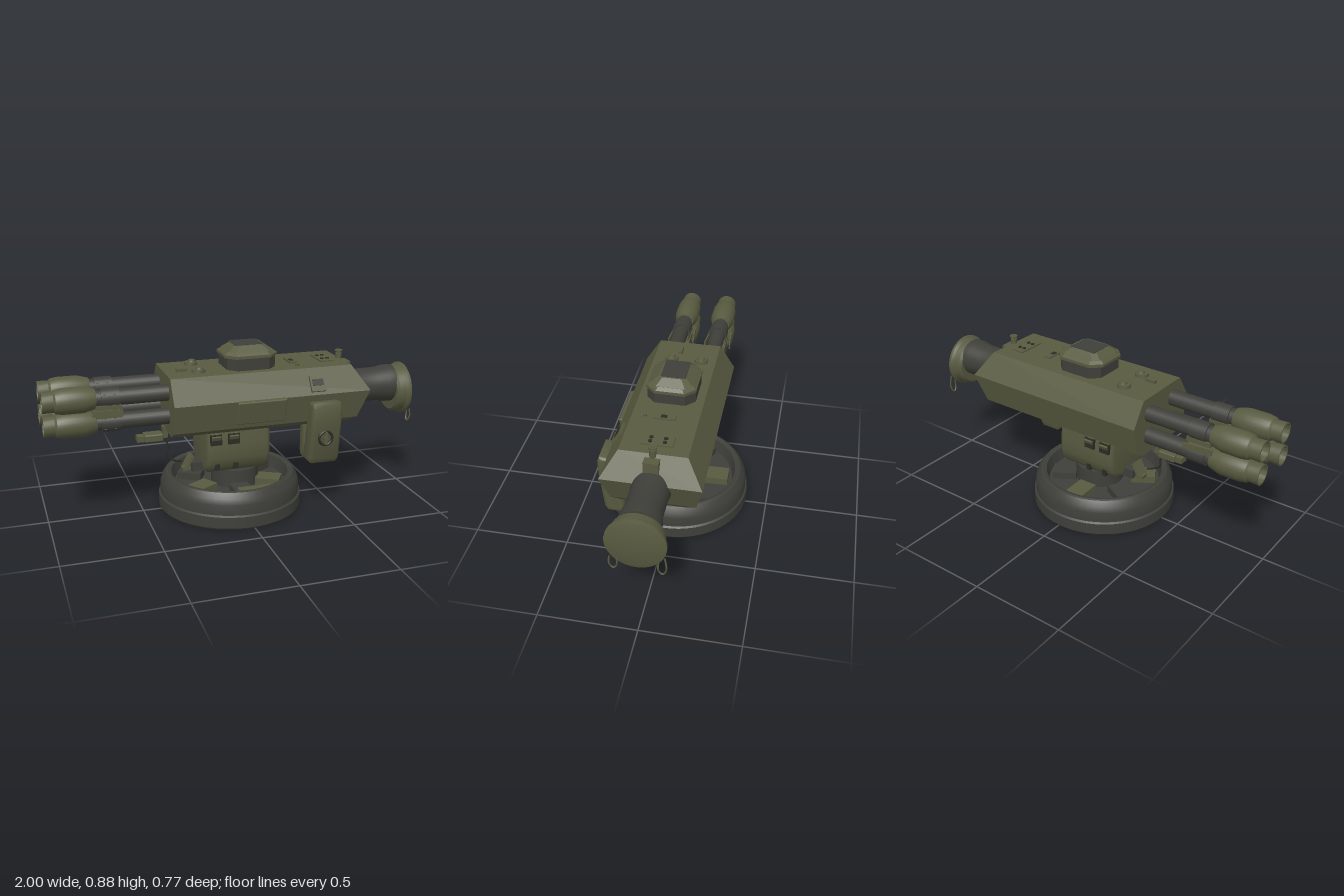
import * as THREE from 'three';
import { toCreasedNormals } from 'three/addons/utils/BufferGeometryUtils.js';
import { RoundedBoxGeometry } from 'three/addons/geometries/RoundedBoxGeometry.js';

const olive = new THREE.MeshStandardMaterial({ name: 'olive paint', color: 0x585a40 });
const dark = new THREE.MeshStandardMaterial({ name: 'dark metal', color: 0x3f3f3a });
const black = new THREE.MeshStandardMaterial({ name: 'black fittings', color: 0x2c2d25 });

export function createModel() {
  const model = new THREE.Group();
  model.name = 'gunTurret';

  const add = (name, geo, mat, x = 0, y = 0, z = 0, rx = 0, rz = 0) => {
    const m = new THREE.Mesh(geo, mat);
    m.name = name;
    m.position.set(x, y, z);
    m.rotation.set(rx, 0, rz);
    model.add(m);
    return m;
  };
  const box = (w, h, d) => new THREE.BoxGeometry(w, h, d);
  const cyl = (r0, r1, h, n = 24) => new THREE.CylinderGeometry(r0, r1, h, n);
  const lathe = (pts, n = 48) =>
    toCreasedNormals(new THREE.LatheGeometry(pts.map(p => new THREE.Vector2(...p)), n), 0.5);
  const latheX = (pts, n = 28) => lathe(pts, n).rotateZ(-Math.PI / 2);
  const tube = (pts, r, n = 32) =>
    new THREE.TubeGeometry(new THREE.CatmullRomCurve3(pts.map(p => new THREE.Vector3(...p))), n, r, 6);
  // Extrudes a [z, y] outline along x, between x0 and x1, with rounded edges
  const extrudeX = (pts, x0, x1, bevel) => {
    const shape = new THREE.Shape(pts.map(([z, y]) => new THREE.Vector2(-z, y)));
    const g = new THREE.ExtrudeGeometry(shape, {
      depth: x1 - x0 - 2 * bevel, bevelSize: bevel, bevelOffset: -bevel,
      bevelThickness: bevel, bevelSegments: 3,
    });
    return toCreasedNormals(g.translate(0, 0, x0 + bevel).rotateY(Math.PI / 2), 0.6);
  };
  // Eight-sided tapered block standing on y = 0
  const octBlock = (hx, hz, c, h, sx, sz) => {
    const o = [[hx, hz - c], [hx - c, hz], [c - hx, hz], [-hx, hz - c],
      [-hx, c - hz], [c - hx, -hz], [hx - c, -hz], [hx, c - hz]];
    const g = new THREE.ExtrudeGeometry(new THREE.Shape(o.map(p => new THREE.Vector2(...p))),
      { depth: h, bevelEnabled: false });
    const p = g.attributes.position;
    for (let i = 0; i < p.count; i++)
      if (p.getZ(i) > h / 2) p.setXY(i, p.getX(i) * sx, p.getY(i) * sz);
    g.rotateX(-Math.PI / 2).computeVertexNormals();
    return g;
  };

  // Round base with a recessed well
  add('base', lathe([[0, 0], [0.38, 0], [0.385, 0.008], [0.385, 0.068], [0.375, 0.075],
    [0.375, 0.13], [0.365, 0.16], [0.345, 0.188], [0.335, 0.192], [0.315, 0.185],
    [0.3, 0.12], [0, 0.12]], 64), dark, -0.02);
  add('pedestal', cyl(0.128, 0.128, 0.12, 40), dark, 0.01, 0.157, 0);
  for (let i = 0; i < 6; i++) {
    const a = i * Math.PI / 3 + 0.5;
    const m = add('wellBlock', box(0.13, 0.04, 0.1), i % 2 ? dark : olive,
      -0.02 + Math.cos(a) * 0.215, 0.14, Math.sin(a) * 0.215);
    m.rotation.y = -a;
  }
  add('wellPlate', box(0.18, 0.012, 0.05), olive, 0.04, 0.165, 0.26);

  // Mount body under the housing, round-bottomed
  add('mountBody', extrudeX([[0.15, 0.47], [0.16, 0.38], [0.16, 0.31], [0.148, 0.265], [0.125, 0.235],
    [0.085, 0.213], [-0.085, 0.213], [-0.125, 0.235], [-0.148, 0.265], [-0.16, 0.31],
    [-0.16, 0.38], [-0.15, 0.47]], -0.185, 0.16, 0.025), olive);
  for (const s of [1, -1]) {
    for (const x of [-0.14, -0.045]) {
      add('mountSwitch', box(0.06, 0.055, 0.02), black, x, 0.415, s * 0.16);
      add('switchCover', box(0.05, 0.02, 0.03), olive, x, 0.43, s * 0.162, s * 0.4);
    }
    add('mountLatch', box(0.025, 0.035, 0.02), black, -0.13, 0.26, s * 0.145);
    add('mountLatch', box(0.025, 0.035, 0.02), black, -0.03, 0.26, s * 0.145);
  }

  // Main housing: hexagonal section, rear end pointed in side view
  const side = [[0.165, 0.76, 0.6], [0.245, 0.635, 0.68], [0.21, 0.485, 0.625], [0.165, 0.455, 0.6]];
  const ring = [...side, ...[...side].reverse().map(([z, y, x]) => [-z, y, x])];
  const A = ring.map(([z, y]) => [-0.375, y, z]);
  const B = ring.map(([z, y, x]) => [x, y, z]);
  const verts = [];
  const quad = (a, b, c, d) => verts.push(...a, ...b, ...c, ...a, ...c, ...d);
  for (let i = 0; i < 8; i++) {
    const j = (i + 1) % 8;
    quad(A[i], A[j], B[j], B[i]);
    if (i < 3) {
      quad(B[i], B[i + 1], B[6 - i], B[7 - i]);
      quad(A[7 - i], A[6 - i], A[i + 1], A[i]);
    }
  }
  const hull = new THREE.BufferGeometry();
  hull.setAttribute('position', new THREE.Float32BufferAttribute(verts, 3));
  hull.computeVertexNormals();
  add('housing', hull, olive);
  add('sidePanel', new RoundedBoxGeometry(0.26, 0.125, 0.03, 2, 0.006), olive, 0.08, 0.575, 0.236, 0.23);
  add('sideHatch', box(0.08, 0.085, 0.025), olive, 0.39, 0.685, 0.214, -0.57);
  add('sideHatchWindow', box(0.06, 0.035, 0.008), black, 0.39, 0.695, 0.22, -0.57);

  // Four barrels with clamps and open muzzles
  for (const z of [-0.113, 0.1]) {
    for (const y of [0.675, 0.552]) {
      add('barrel', cyl(0.042, 0.042, 0.38).rotateZ(Math.PI / 2), dark, -0.55, y, z);
      add('barrelCollar', cyl(0.05, 0.05, 0.09).rotateZ(Math.PI / 2), dark, -0.67, y, z);
      add('muzzle', latheX([[0, -0.88], [0.043, -0.88], [0.045, -1], [0.053, -1], [0.051, -0.945],
        [0.06, -0.935], [0.066, -0.9], [0.066, -0.8], [0.05, -0.74], [0, -0.735]]), olive, 0, y, z);
    }
    for (const x of [-0.7, -0.65]) add('barrelLink', cyl(0.014, 0.014, 0.18, 12), olive, x, 0.613, z + 0.03);
    add('barrelBracket', box(0.13, 0.022, 0.09), olive, -0.68, 0.635, z);
    add('barrelBracket', box(0.13, 0.022, 0.09), olive, -0.68, 0.592, z);
    for (const s of [1, -1]) {
      const strip = add('clampStrip', box(0.15, 0.03, 0.007), olive, -0.69, 0.613, z + s * 0.066);
      strip.rotation.y = s * -0.08;
    }
  }

  // Rear tube and its domed cover
  add('rearTube', latheX([[0, 0.56], [0.108, 0.56], [0.092, 0.7], [0.092, 0.82], [0.102, 0.875],
    [0.102, 0.92], [0, 0.92]], 36), dark, 0, 0.593, 0);
  add('rearCover', latheX([[0, 0.91], [0.115, 0.91], [0.127, 0.922], [0.132, 0.96], [0.143, 0.972],
    [0.143, 0.985], [0.12, 0.993], [0, 0.998]], 40), olive, 0, 0.559, 0);
  for (const z of [0.105, -0.12])
    add('coverLoop', tube([[0.985, 0.5, z - 0.012], [0.99, 0.44, z - 0.02], [0.985, 0.405, z - 0.012],
      [0.985, 0.395, z], [0.985, 0.405, z + 0.012], [0.99, 0.43, z + 0.018], [0.985, 0.47, z + 0.016]],
      0.0045), olive);

  // Sight cupola on the roof
  add('cupolaCollar', octBlock(0.13, 0.122, 0.045, 0.065, 1, 1), dark, 0.075, 0.758, 0);
  add('cupolaLip', octBlock(0.142, 0.126, 0.05, 0.014, 1, 1), olive, 0.075, 0.822, 0);
  add('cupolaCap', octBlock(0.138, 0.12, 0.05, 0.014, 0.88, 0.87), olive, 0.075, 0.836, 0);
  add('cupolaTop', octBlock(0.12, 0.103, 0.03, 0.029, 0.66, 0.65), olive, 0.075, 0.85, 0);
  add('cupolaPlate', box(0.15, 0.004, 0.125), dark, 0.07, 0.879, -0.005);

  // Roof fittings
  for (const z of [-0.088, 0.07]) {
    add('roofDisc', cyl(0.034, 0.036, 0.016, 20), olive, -0.205, 0.768, z);
    add('roofDiscKnob', cyl(0.018, 0.022, 0.012, 16), olive, -0.2, 0.78, z);
  }
  add('roofStud', box(0.055, 0.016, 0.02), olive, -0.285, 0.767, 0.035);
  add('roofPlate', box(0.038, 0.012, 0.105), olive, 0.32, 0.762, 0);
  add('roofPlateSlot', box(0.022, 0.006, 0.03), black, 0.32, 0.767, 0.005);
  add('roofStud', cyl(0.01, 0.01, 0.012, 12), olive, 0.32, 0.765, 0.1);
  add('roofPanel', box(0.075, 0.01, 0.155), olive, 0.505, 0.762, -0.005);
  for (const z of [-0.04, 0.03])
    for (const x of [0.49, 0.52]) add('roofPanelButton', cyl(0.01, 0.01, 0.014, 12), black, x, 0.765, z);
  add('postFoot', box(0.08, 0.06, 0.075), olive, 0.615, 0.713, 0);
  add('post', cyl(0.017, 0.017, 0.05, 16), olive, 0.6, 0.76, 0);
  add('postStem', cyl(0.008, 0.008, 0.03, 12), olive, 0.6, 0.79, 0);
  add('postCap', cyl(0.021, 0.021, 0.007, 16), olive, 0.6, 0.799, 0);

  // Slanted equipment box with a round handle, and the pouch behind it
  add('sideBox', extrudeX([[0.24, 0.6], [0.295, 0.607], [0.305, 0.58], [0.303, 0.5], [0.28, 0.295],
    [0.262, 0.268], [0.19, 0.268], [0.173, 0.3], [0.2, 0.45]], 0.335, 0.5, 0.018), olive);
  add('sideBoxBracket', box(0.1, 0.05, 0.1), olive, 0.42, 0.47, 0.17);
  add('handleRing', new THREE.TorusGeometry(0.036, 0.007, 8, 28), black, 0.41, 0.415, 0.3);
  add('handleStem', cyl(0.012, 0.012, 0.04, 14).rotateX(Math.PI / 2), olive, 0.41, 0.415, 0.29);
  add('handleBar', box(0.018, 0.07, 0.008), olive, 0.41, 0.415, 0.303);
  add('pouch', extrudeX([[0.065, 0.46], [0.06, 0.28], [0.075, 0.25], [0.115, 0.245], [0.14, 0.265],
    [0.16, 0.32], [0.125, 0.34], [0.12, 0.46]], 0.36, 0.48, 0.012), olive);

  // Aiming unit below the barrels with its cable, and a pedal on the base
  add('aimingUnit', new RoundedBoxGeometry(0.1, 0.042, 0.07, 2, 0.008), olive, -0.435, 0.41, -0.005);
  add('aimingLens', box(0.04, 0.03, 0.05), olive, -0.502, 0.408, -0.005);
  add('aimingBracket', box(0.025, 0.06, 0.05), olive, -0.372, 0.435, -0.005);
  add('cable', tube([[-0.375, 0.45, 0.01], [-0.365, 0.36, 0.02], [-0.365, 0.3, 0.02], [-0.33, 0.275, 0.02],
    [-0.29, 0.262, 0.01]], 0.005), black);
  add('pedalArm', box(0.12, 0.02, 0.04), olive, -0.225, 0.222, 0, 0, 0.1);
  add('pedal', box(0.015, 0.08, 0.07), olive, -0.25, 0.255, 0, 0, -0.5);
  add('pedalBlock', box(0.08, 0.05, 0.1), dark, -0.2, 0.235, 0);

  return model;
}
